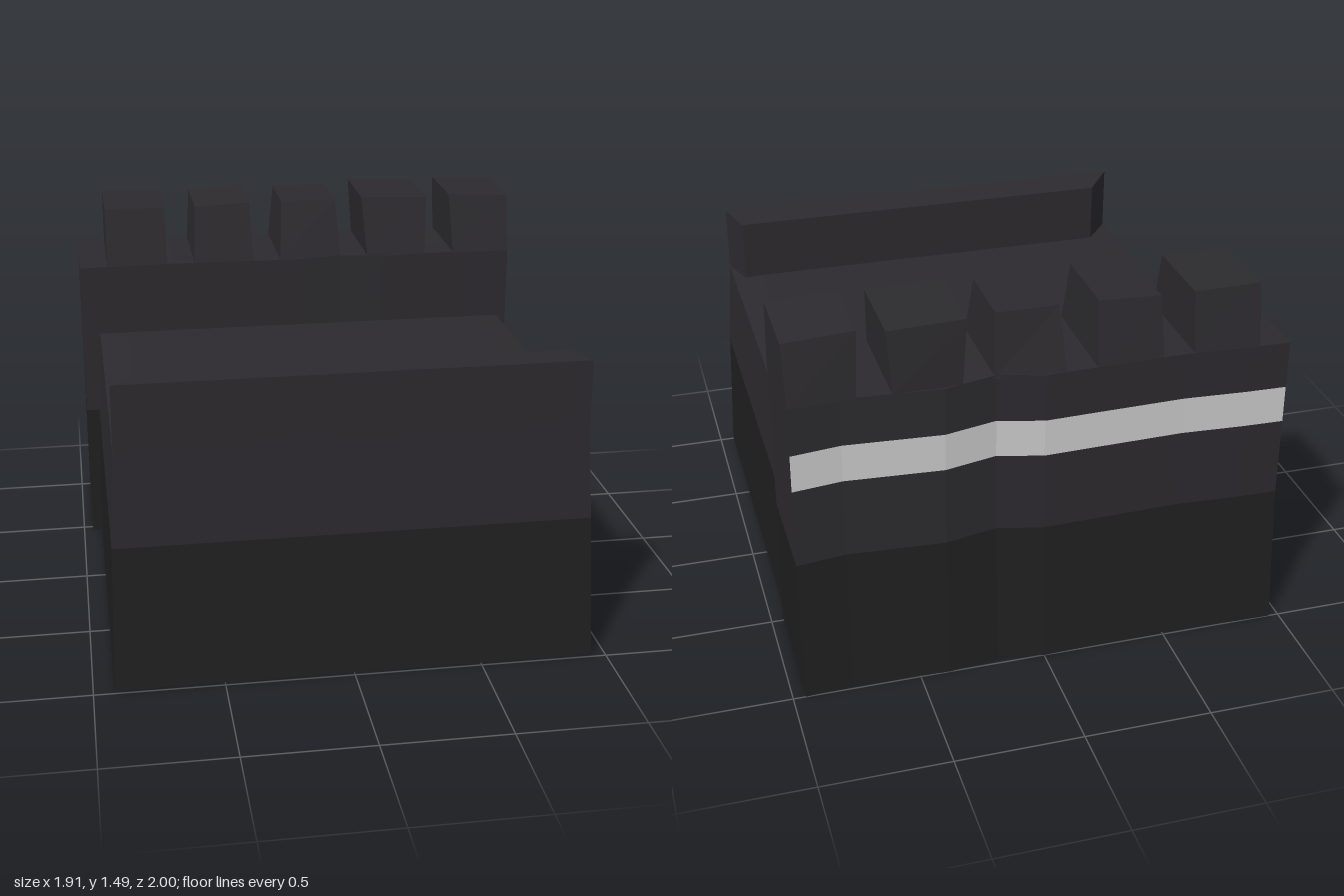
import * as THREE from 'three';

const material = (color) => new THREE.MeshStandardMaterial({ color, flatShading: true, side: THREE.DoubleSide });
const upper = material(0x2c2a2e);
const lower = material(0x1f1f1f);
const pale = material(0xcccccc);

// Faceted sheet spanning rows of [x, y, z] points (all rows equally long)
function sheet(parent, name, rows, mat) {
  const pos = [];
  for (let r = 0; r + 1 < rows.length; r++) {
    for (let i = 0; i + 1 < rows[r].length; i++) {
      const a = rows[r][i], b = rows[r][i + 1], c = rows[r + 1][i + 1], d = rows[r + 1][i];
      pos.push(...a, ...b, ...c, ...a, ...c, ...d);
    }
  }
  const geo = new THREE.BufferGeometry();
  geo.setAttribute('position', new THREE.Float32BufferAttribute(pos, 3));
  geo.computeVertexNormals();
  const mesh = new THREE.Mesh(geo, mat);
  mesh.name = name;
  parent.add(mesh);
}

// Tapered block, open below: four base corners and four top corners in ring order
function taperedBlock(parent, name, base, top, mat) {
  const g = new THREE.Group();
  g.name = name;
  sheet(g, name + 'Sides', [[...base, base[0]], [...top, top[0]]], mat);
  sheet(g, name + 'Top', [[top[0], top[1]], [top[3], top[2]]], mat);
  parent.add(g);
}

// Platform: shell open below and behind, with a parapet along the front
function createPlatform() {
  const g = new THREE.Group();
  g.name = 'platform';
  const ring = (y, x0, x1, front, back) => [[x0, y, back], [x0, y, front], [x1, y, front], [x1, y, back]];
  const foot = ring(0.01, -0.92, 0.94, 1, -0.46);
  const waist = ring(0.57, -0.905, 0.925, 0.935, -0.465);
  const rim = ring(0.94, -0.885, 0.9, 0.93, -0.475);
  const deck = ring(0.95, -0.77, 0.78, 0.775, -0.37);
  sheet(g, 'platformBase', [foot, waist], lower);
  sheet(g, 'platformWalls', [waist, rim], upper);
  sheet(g, 'deckBorder', [[...rim, rim[0]], [...deck, deck[0]]], upper);
  sheet(g, 'deck', [[deck[0], deck[1]], [deck[3], deck[2]]], upper);
  taperedBlock(g, 'frontParapet',
    [[-0.885, 0.94, 0.93], [0.9, 0.94, 0.93], [0.85, 0.945, 0.775], [-0.77, 0.945, 0.775]],
    [[-0.885, 1.21, 0.93], [0.9, 1.21, 0.93], [0.85, 1.2, 0.775], [-0.77, 1.2, 0.775]], upper);
  return g;
}

// Uneven wall line: how far the back face dips inward at each station along x
const stations = [-0.96, -0.8, -0.55, -0.2, 0, 0.18, 0.38, 0.76, 0.95];
const dips = [0, 0.002, 0.01, 0.004, 0, 0.026, 0, 0.014, 0];
function dip(x) {
  let i = 0;
  while (i < stations.length - 2 && x > stations[i + 1]) i++;
  const t = (x - stations[i]) / (stations[i + 1] - stations[i]);
  return THREE.MathUtils.lerp(dips[i], dips[i + 1], THREE.MathUtils.clamp(t, 0, 1));
}

function createWall() {
  const g = new THREE.Group();
  g.name = 'battlementWall';
  const back = (y, z) => stations.map((x) => [x, y + dip(x) * 0.5, z + dip(x)]);
  const front = (y, z) => stations.map((x) => [x, y + dip(x) * 0.3, z - dip(x) * 0.4]);

  // Back face in bands, with a pale stripe
  sheet(g, 'wallBackBase', [back(0, -1), back(0.57, -0.95)], lower);
  sheet(g, 'wallBackMiddle', [back(0.57, -0.95), back(0.89, -0.95)], upper);
  sheet(g, 'stripe', [back(0.89, -0.95), back(1.04, -0.95)], pale);
  sheet(g, 'wallBackUpper', [back(1.04, -0.95), back(1.23, -0.95)], upper);
  // Walkway and front face
  sheet(g, 'walkway', [back(1.23, -0.95), front(1.23, -0.51)], upper);
  sheet(g, 'wallFront', [front(1.23, -0.51), front(0.57, -0.51)], upper);

  // Ends, and short front returns that leave the middle open below
  for (const [x, inner, side] of [[-0.96, -0.77, 'right'], [0.95, 0.76, 'left']]) {
    sheet(g, side + 'EndBase', [[[x, 0, -0.47], [x, 0, -1]], [[x, 0.57, -0.51], [x, 0.57, -0.95]]], lower);
    sheet(g, side + 'EndUpper', [[[x, 0.57, -0.51], [x, 0.57, -0.95]], [[x, 1.23, -0.51], [x, 1.23, -0.95]]], upper);
    sheet(g, side + 'FrontReturn', [[[x, 0, -0.47], [inner, 0, -0.47]], [[x, 0.57, -0.51], [inner, 0.57, -0.51]]], lower);
  }

  // Merlons: base x range, top x range, top heights at each side, top z range
  const merlons = [
    [-0.84, -0.58, -0.84, -0.58, 1.475, 1.47, -0.57, -0.905],
    [-0.46, -0.2, -0.45, -0.21, 1.47, 1.48, -0.57, -0.9],
    [-0.08, 0.19, -0.065, 0.175, 1.475, 1.475, -0.59, -0.885],
    [0.31, 0.57, 0.29, 0.585, 1.485, 1.475, -0.575, -0.925],
    [0.7, 0.95, 0.685, 0.955, 1.485, 1.47, -0.57, -0.91],
  ];
  for (const [b0, b1, t0, t1, y0, y1, zf, zb] of merlons) {
    taperedBlock(g, 'merlon',
      [[b0, 1.23, -0.51 - dip(b0) * 0.4], [b1, 1.23, -0.51 - dip(b1) * 0.4],
        [b1, 1.23, -0.95 + dip(b1)], [b0, 1.23, -0.95 + dip(b0)]],
      [[t0, y0, zf], [t1, y1, zf], [t1, y1, zb], [t0, y0, zb]], upper);
  }
  return g;
}

export function createModel() {
  const model = new THREE.Group();
  model.name = 'castleSection';
  model.add(createPlatform(), createWall());
  return model;
}
